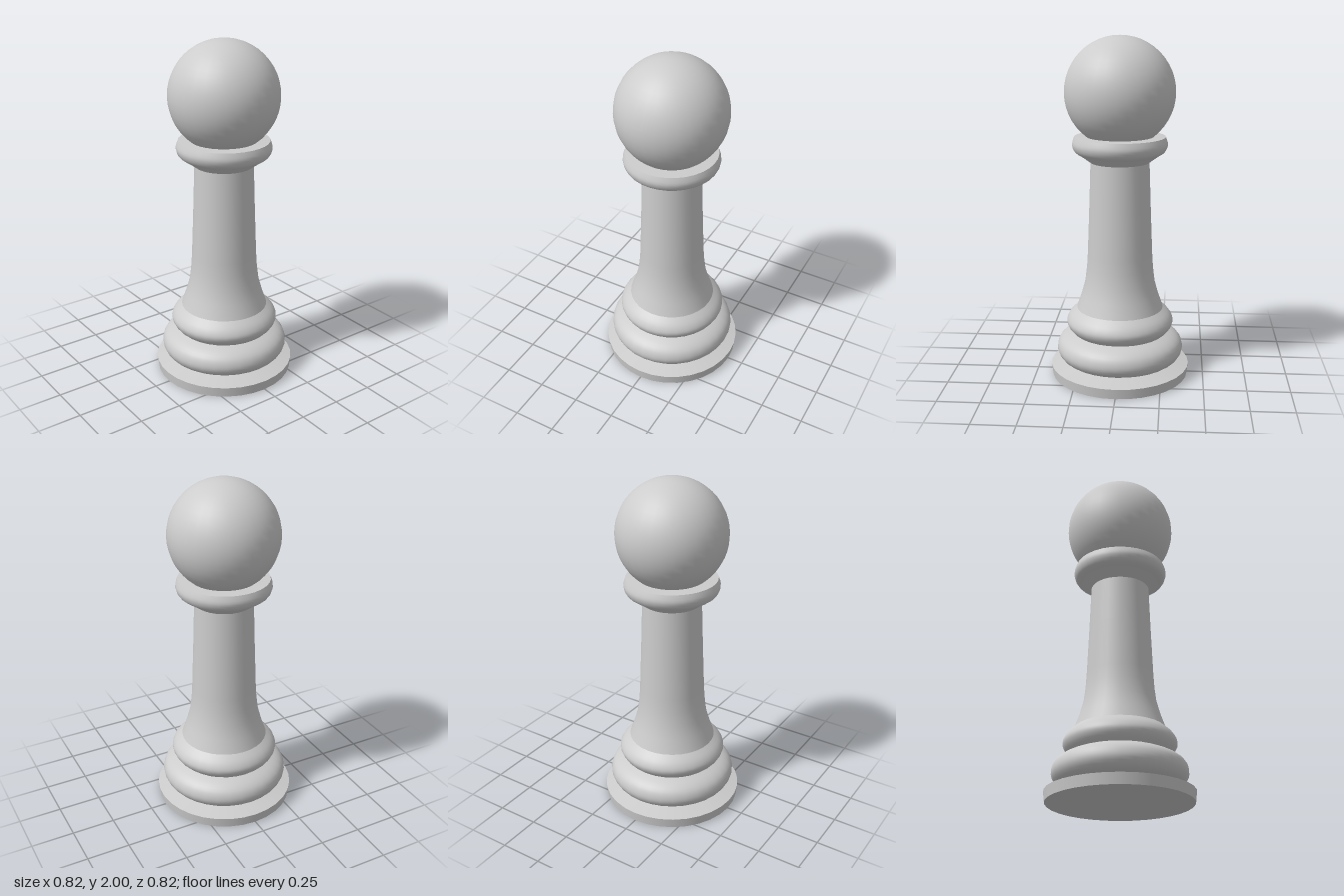
import * as THREE from 'three';

const SIDES = 32;

export function createModel() {
  const model = new THREE.Group();
  model.name = 'pawn';
  const grey = new THREE.MeshStandardMaterial({ color: 0xcccccc });
  grey.name = 'grey';

  const add = (name, geometry, y = 0) => {
    const mesh = new THREE.Mesh(geometry, grey);
    mesh.name = name;
    mesh.position.y = y;
    model.add(mesh);
  };
  // Turned part: [radius, height] points from bottom to top, optionally rounded by a spline
  const turn = (name, profile, steps = 0) => {
    let points = profile.map(([r, y]) => new THREE.Vector2(r, y));
    if (steps) points = new THREE.SplineCurve(points).getPoints(steps);
    add(name, new THREE.LatheGeometry(points, SIDES));
  };

  // Foot plate: underside, rim and sloping top, kept apart for sharp edges
  turn('footUnderside', [[0, 0], [0.405, 0]]);
  turn('footRim', [[0.405, 0], [0.412, 0.06]]);
  turn('footTop', [[0.412, 0.06], [0.3, 0.085]]);

  // Rounded base mouldings
  turn('baseMoulding', [[0.3, 0.083], [0.345, 0.105], [0.37, 0.14], [0.374, 0.175],
    [0.36, 0.213], [0.325, 0.243], [0.275, 0.265]], 16);
  turn('upperMoulding', [[0.275, 0.263], [0.3, 0.288], [0.315, 0.318], [0.313, 0.345],
    [0.293, 0.378], [0.255, 0.412]], 14);

  // Tapering shaft with a flared foot
  turn('shaft', [[0.256, 0.41], [0.228, 0.49], [0.206, 0.57], [0.195, 0.66],
    [0.19, 0.74], [0.179, 1.02], [0.17, 1.287]]);

  // Collar under the head
  turn('collar', [[0.17, 1.285], [0.193, 1.302], [0.225, 1.325], [0.258, 1.347],
    [0.272, 1.375], [0.273, 1.4], [0.262, 1.432]], 14);
  turn('collarTop', [[0.262, 1.432], [0.15, 1.436]]);

  // Ball head
  add('head', new THREE.SphereGeometry(0.316, SIDES, 24), 1.684);
  return model;
}
